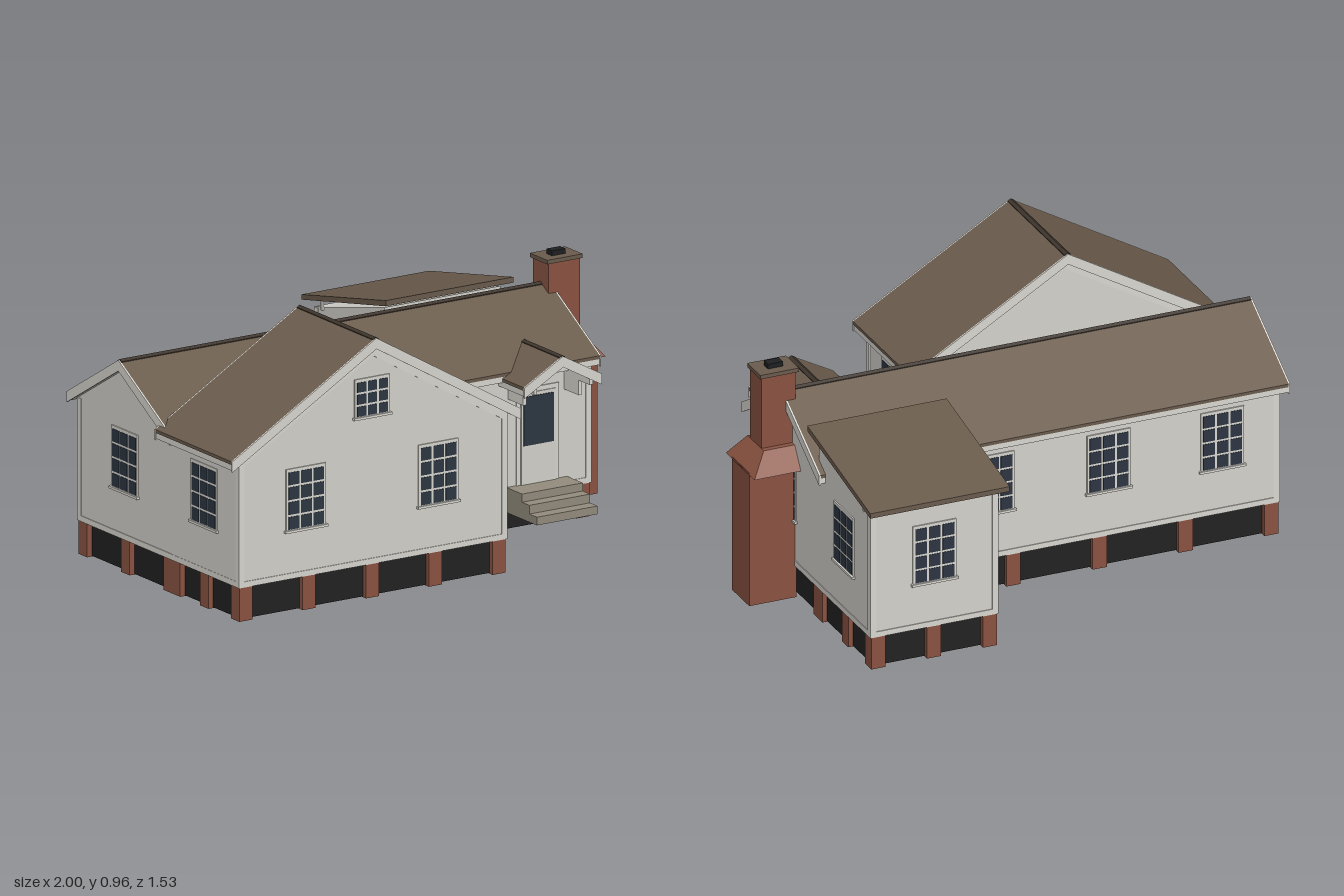
import * as THREE from 'three';

const mat = (name, color) => {
  const m = new THREE.MeshStandardMaterial({ color });
  m.name = name;
  return m;
};

export function createModel() {
  const M = {
    wall: mat('siding', 0xd6d4cd),
    trim: mat('trim', 0xdbd9d2),
    roof: mat('shingles', 0x6b5c4d),
    ridge: mat('ridgeCap', 0x3f362d),
    brick: mat('brick', 0x8c5442),
    skirt: mat('crawlspace', 0x222222),
    glass: mat('glass', 0x2d3643),
    stone: mat('steps', 0x958d7e),
    pot: mat('fluePot', 0x1f2022),
  };
  const house = new THREE.Group();
  house.name = 'house';

  const add = (name, geo, m, parent = house) => {
    const mesh = new THREE.Mesh(geo, m);
    mesh.name = name;
    parent.add(mesh);
    return mesh;
  };
  // Box from its minimum and maximum corners
  const box = (name, x0, x1, y0, y1, z0, z1, m, parent) => {
    const b = add(name, new THREE.BoxGeometry(x1 - x0, y1 - y0, z1 - z0), m, parent);
    b.position.set((x0 + x1) / 2, (y0 + y1) / 2, (z0 + z1) / 2);
    return b;
  };
  // Profile swept along z (points are x,y) or along x (points are z,y)
  const prism = (name, axis, pts, a, b, m) => {
    const s = axis === 'x' ? -1 : 1;
    const shape = new THREE.Shape(pts.map(([u, y]) => new THREE.Vector2(s * u, y)));
    const geo = new THREE.ExtrudeGeometry(shape, { depth: b - a, bevelEnabled: false });
    geo.translate(0, 0, a);
    if (axis === 'x') geo.rotateY(Math.PI / 2);
    return add(name, geo, m);
  };
  // Inverted V of vertical thickness t
  const chevron = (c, peak, slope, half, t) => [
    [c - half, peak - slope * half], [c, peak], [c + half, peak - slope * half],
    [c + half, peak - slope * half - t], [c, peak - t], [c - half, peak - slope * half - t],
  ];

  // Gable roof: shingles over a pale soffit, barge boards at both ends, ridge cap
  const gableRoof = (name, axis, c, peak, slope, half, a, b) => {
    const e = 0.006;
    prism(name + 'Shingles', axis, chevron(c, peak, slope, half, 0.012), a + e, b - e, M.roof);
    prism(name + 'Soffit', axis, chevron(c, peak - 0.012, slope, half - 0.003, 0.024), a + e, b - e, M.trim);
    prism(name + 'BargeBoard', axis, chevron(c, peak, slope, half, 0.04), a, a + e, M.trim);
    prism(name + 'BargeBoard', axis, chevron(c, peak, slope, half, 0.04), b - e, b, M.trim);
    prism(name + 'RidgeCap', axis, chevron(c, peak + 0.003, slope, 0.012, 0.006), a + e, b - e, M.ridge);
  };
  const gableWalls = (name, axis, c, half, eave, peak, a, b) =>
    prism(name, axis, [[c - half, 0.125], [c + half, 0.125], [c + half, eave], [c, peak], [c - half, eave]], a, b, M.wall);

  // Main block
  const Z0 = 0.005;
  gableWalls('mainWalls', 'x', Z0, 0.3, 0.583, 0.758, -0.95, 0.82);
  gableRoof('mainRoof', 'x', Z0, 0.79, 0.59, 0.332, -0.98, 0.845);

  // Front wing
  const X0 = -0.387;
  gableWalls('wingWalls', 'z', X0, 0.565, 0.595, 0.925, 0.3, 0.735);
  gableRoof('wingRoof', 'z', X0, 0.96, 0.585, 0.611, 0.264, 0.762);
  for (const z of [0.296, 0.735])
    prism('wingFrieze', 'z', chevron(X0, 0.925, 0.585, 0.565, 0.035), z, z + 0.004, M.trim);

  // Rear room with a shed roof
  prism('rearRoomWalls', 'x', [[-0.27, 0.125], [-0.27, 0.706], [-0.665, 0.61], [-0.715, 0.602], [-0.715, 0.125]], 0.33, 0.82, M.wall);
  prism('shedRoof', 'x', [[-0.225, 0.746], [-0.765, 0.637], [-0.765, 0.618], [-0.225, 0.725]], 0.305, 0.845, M.roof);
  for (const x of [0.322, 0.82]) box('shedRoofStrut', x, x + 0.008, 0.6, 0.645, -0.67, -0.66, M.trim);

  // Foundations: recessed dark skirt, base board and brick piers
  const foundation = (x0, x1, z0, z1, xs, zs) => {
    const i = 0.02, o = 0.003, h = 0.0275;
    box('crawlspace', x0 + i, x1 - i, 0.003, 0.126, z0 + i, z1 - i, M.skirt);
    box('baseBoard', x0 - o, x1 + o, 0.124, 0.145, z0 - o, z1 + o, M.trim);
    xs.forEach((x, ix) => zs.forEach((z, iz) => {
      const edge = ix === 0 || ix === xs.length - 1 || iz === 0 || iz === zs.length - 1;
      if (edge) box('pier', x - h, x + h, 0, 0.125, z - h, z + h, M.brick);
    }));
  };
  foundation(-0.95, 0.82, -0.295, 0.305, [-0.922, -0.59, -0.257, 0.077, 0.412, 0.79], [-0.267, 0.005, 0.277]);
  foundation(-0.95, 0.18, 0.3, 0.735, [-0.922, -0.654, -0.386, -0.12, 0.15], [0.328, 0.51, 0.707]);
  foundation(0.33, 0.82, -0.715, -0.27, [0.358, 0.575, 0.79], [-0.687, -0.488, -0.245]);

  // Corner boards
  const corner = (x, z, top) => box('cornerBoard', x - 0.012, x + 0.012, 0.13, top, z - 0.012, z + 0.012, M.trim);
  for (const x of [-0.941, 0.171]) corner(x, 0.726, 0.59);
  for (const x of [0.339, 0.811]) corner(x, -0.706, 0.6);
  corner(-0.941, -0.286, 0.575);
  corner(0.811, 0.296, 0.575);

  // Sash window: frame, sill and a grid of panes, facing +z before turning
  const sashWindow = (x, y, z, turn, w = 0.15, h = 0.21, rows = 4) => {
    const g = new THREE.Group();
    g.name = 'window';
    box('frame', -w / 2 - 0.009, w / 2 + 0.009, -h / 2 - 0.01, h / 2 + 0.012, -0.004, 0.005, M.trim, g);
    box('sill', -w / 2 - 0.015, w / 2 + 0.015, -h / 2 - 0.012, -h / 2 - 0.003, -0.004, 0.012, M.trim, g);
    const gap = 0.008, pw = (w - 2 * gap) / 3, ph = (h - (rows - 1) * gap) / rows;
    for (let c = 0; c < 3; c++) for (let r = 0; r < rows; r++) {
      const px = -w / 2 + c * (pw + gap), py = -h / 2 + r * (ph + gap);
      box('pane', px, px + pw, py, py + ph, 0.004, 0.0065, M.glass, g);
    }
    g.position.set(x, y, z);
    g.rotation.y = turn;
    house.add(g);
  };
  const Q = Math.PI / 2, WY = 0.412;
  for (const x of [-0.67, -0.11]) sashWindow(x, WY, 0.735, 0);
  sashWindow(-0.39, 0.738, 0.735, 0, 0.13, 0.125, 3);
  sashWindow(0.18, WY, 0.515, Q);
  sashWindow(-0.95, WY, 0.515, -Q);
  sashWindow(-0.95, WY, Z0, -Q);
  sashWindow(0.82, WY, Z0, Q);
  for (const x of [-0.73, -0.29, 0.16]) sashWindow(x, WY, -0.295, 2 * Q);
  sashWindow(0.575, WY, -0.715, 2 * Q);
  sashWindow(0.82, WY, -0.49, Q);
  sashWindow(0.33, WY, -0.49, -Q);

  // Front door
  box('doorFrame', 0.505, 0.685, 0.16, 0.515, 0.3, 0.31, M.trim);
  box('door', 0.522, 0.668, 0.16, 0.498, 0.305, 0.314, M.wall);
  box('doorGlass', 0.532, 0.658, 0.305, 0.485, 0.312, 0.317, M.glass);

  // Door canopy on two brackets
  gableRoof('canopy', 'z', 0.593, 0.665, 0.55, 0.164, 0.22, 0.475);
  for (const x of [0.472, 0.708]) {
    box('canopyBracket', x, x + 0.014, 0.485, 0.54, 0.3, 0.4, M.trim);
    box('canopyBeam', x, x + 0.014, 0.54, 0.575, 0.3, 0.47, M.trim);
  }

  // Entry steps
  prism('entrySteps', 'x', [[0.295, 0.07], [0.5, 0.07], [0.5, 0.1], [0.452, 0.1], [0.452, 0.132],
    [0.405, 0.132], [0.405, 0.162], [0.295, 0.162]], 0.465, 0.722, M.stone);

  // Chimney: wide base, sloped shoulder, stack, cap and flue pot
  const cz = 0.008;
  box('chimneyBase', 0.815, 0.998, 0, 0.52, cz - 0.074, cz + 0.074, M.brick);
  const shoulder = new THREE.BoxGeometry(1, 1, 1);
  const p = shoulder.attributes.position;
  for (let i = 0; i < p.count; i++) {
    const top = p.getY(i) > 0;
    const x = p.getX(i) > 0 ? (top ? 0.94 : 1.0) : 0.815;
    p.setXYZ(i, x, top ? 0.595 : 0.515, cz + Math.sign(p.getZ(i)) * (top ? 0.07 : 0.123));
  }
  shoulder.computeVertexNormals();
  add('chimneyShoulder', shoulder, M.brick);
  box('chimneyStack', 0.807, 0.94, 0.5, 0.872, cz - 0.049, cz + 0.049, M.brick);
  box('chimneyCap', 0.797, 0.947, 0.87, 0.885, cz - 0.056, cz + 0.056, M.roof);
  box('fluePot', 0.842, 0.9, 0.885, 0.903, cz - 0.018, cz + 0.018, M.pot);

  return house;
}
